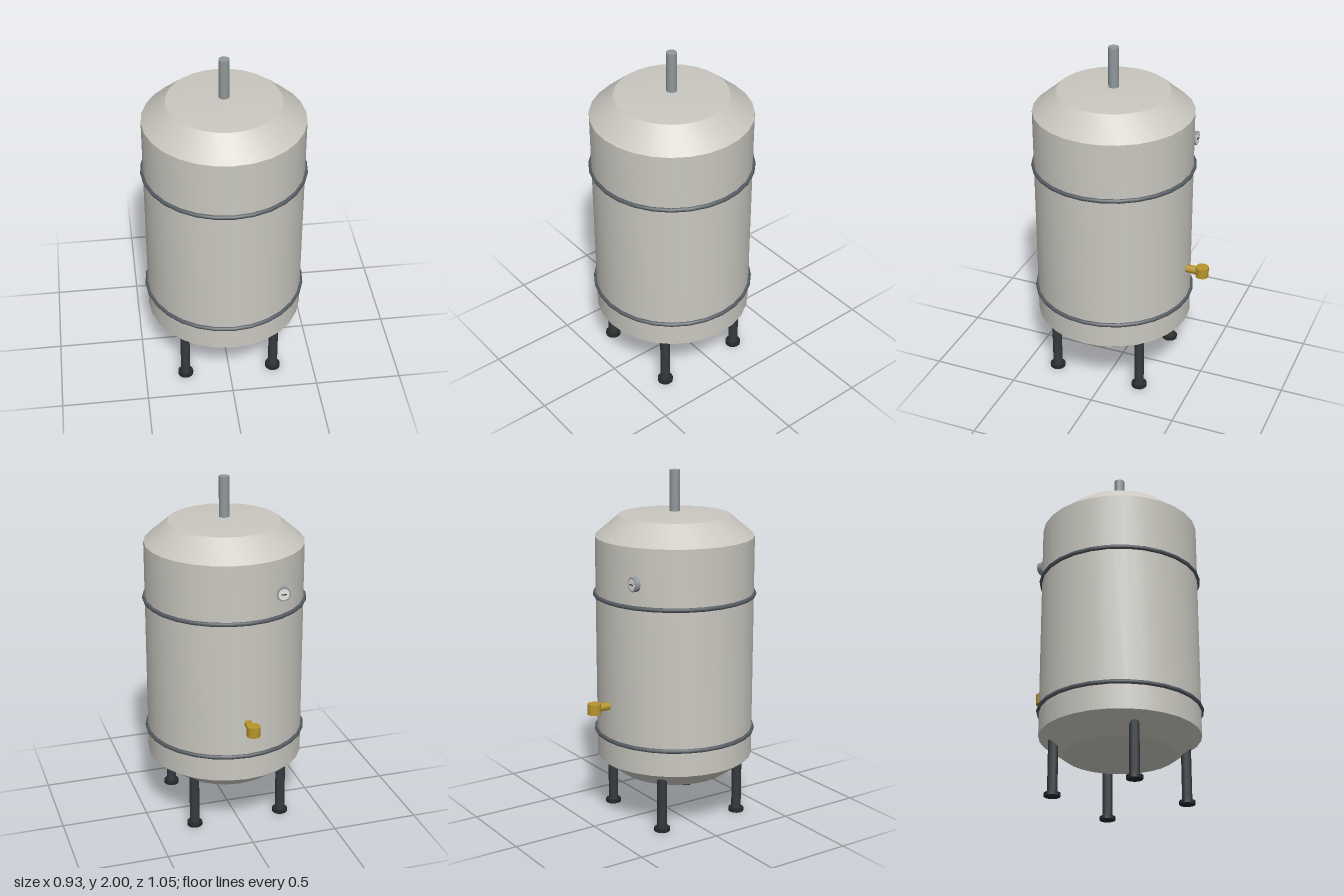
import * as THREE from 'three';
import { toCreasedNormals } from 'three/addons/utils/BufferGeometryUtils.js';

const AXIS_Z = 0.055; // tank axis; the tap sticks out behind
const SIDES = 28;

const paint = (color) => new THREE.MeshStandardMaterial({ color });
const shell = paint(0xc9c7bf);
const steel = paint(0x90979b);
const band = paint(0x555c63);
const iron = paint(0x363b3e);
const rubber = paint(0x26282a);
const brass = paint(0xb8942c);
const dialWhite = paint(0xe4e4e0);

function add(parent, name, geometry, material, x = 0, y = 0, z = 0) {
  const mesh = new THREE.Mesh(geometry, material);
  mesh.name = name;
  mesh.position.set(x, y, z);
  parent.add(mesh);
  return mesh;
}

const rod = (radius, length, sides) => new THREE.CylinderGeometry(radius, radius, length, sides);

export function createModel() {
  const model = new THREE.Group();
  model.name = 'pressureTank';

  // Tank shell with sloped shoulders and a shallow conical lid
  const profile = [
    [0, 0.255], [0.315, 0.255], [0.45, 0.355], [0.45, 1.635], [0.315, 1.75], [0, 1.772],
  ].map(([r, y]) => new THREE.Vector2(r, y));
  add(model, 'tankBody', toCreasedNormals(new THREE.LatheGeometry(profile, SIDES), 0.35), shell, 0, 0, AXIS_Z);

  // Inlet pipe on the lid
  add(model, 'topPipe', rod(0.03, 0.24, 12), steel, 0, 1.88, AXIS_Z);

  // Hoops around the shell
  for (const y of [0.505, 1.305]) {
    const hoop = add(model, 'hoop', new THREE.TorusGeometry(0.453, 0.0125, 8, SIDES), band, 0, y, AXIS_Z);
    hoop.rotation.x = Math.PI / 2;
  }

  // Four legs with feet
  for (const sx of [-1, 1]) {
    for (const sz of [-1, 1]) {
      const leg = new THREE.Group();
      leg.name = 'leg';
      leg.position.set(sx * 0.262, 0, AXIS_Z + sz * 0.262);
      add(leg, 'legPost', rod(0.028, 0.31, 10), iron, 0, 0.165, 0);
      add(leg, 'foot', rod(0.045, 0.02, 12), rubber, 0, 0.01, 0);
      model.add(leg);
    }
  }

  // Drain tap at the back
  const tap = new THREE.Group();
  tap.name = 'drainTap';
  tap.position.set(0, 0.705, 0);
  add(tap, 'tapPipe', rod(0.023, 0.11, 10), brass, 0, 0, -0.435).rotation.x = Math.PI / 2;
  add(tap, 'tapHead', rod(0.038, 0.06, 16), brass, 0, 0, -0.487);
  model.add(tap);

  // Gauge facing the back
  const gauge = new THREE.Group();
  gauge.name = 'gauge';
  gauge.position.set(-0.207, 1.436, -0.35);
  add(gauge, 'gaugeCase', rod(0.04, 0.03, 20), steel).rotation.x = Math.PI / 2;
  add(gauge, 'gaugeDial', rod(0.032, 0.004, 20), dialWhite, 0, 0, -0.015).rotation.x = Math.PI / 2;
  add(gauge, 'gaugeNeedle', new THREE.BoxGeometry(0.032, 0.005, 0.004), rubber, 0, 0, -0.018);
  model.add(gauge);

  return model;
}
